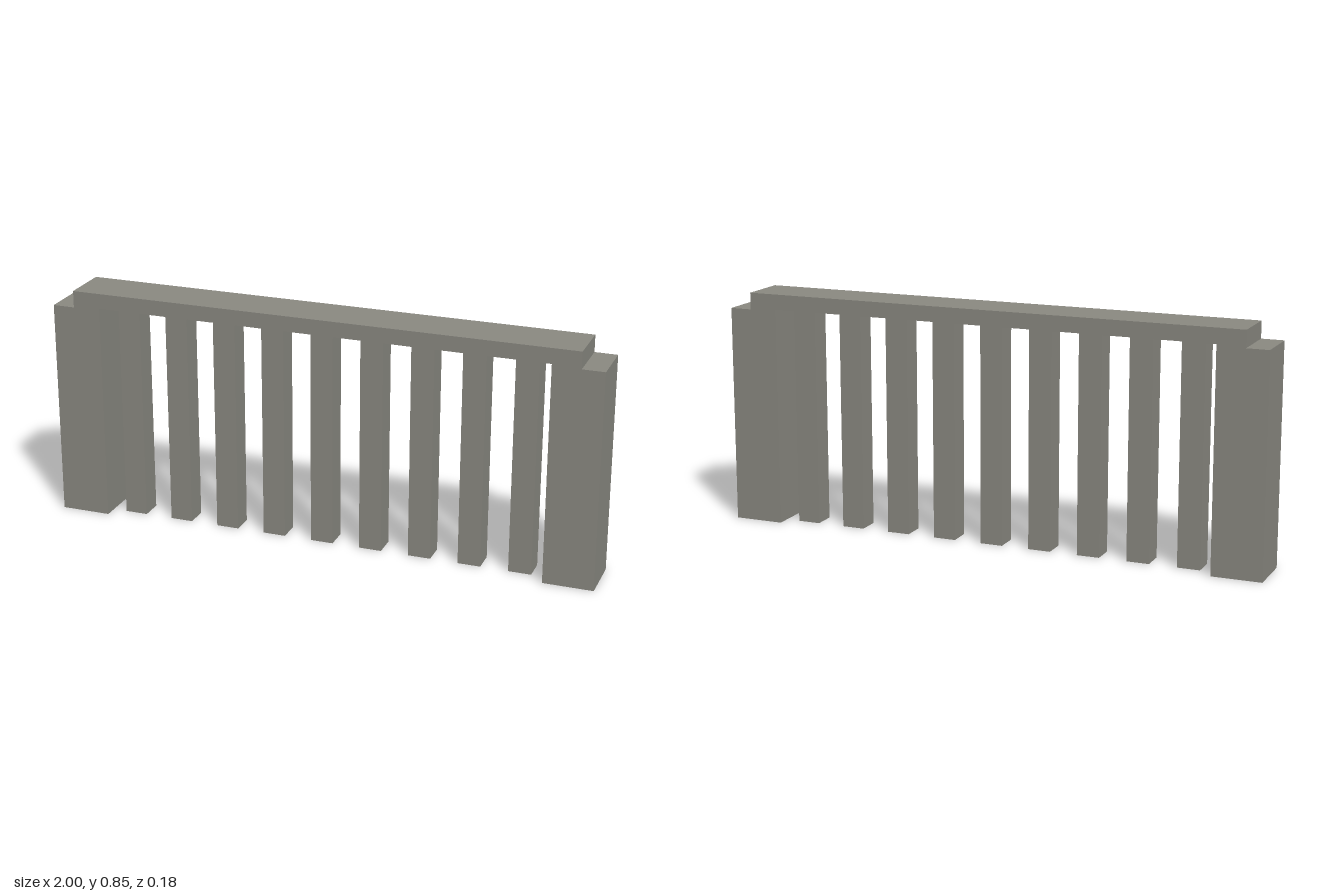
import * as THREE from 'three';

export function createModel() {
  const model = new THREE.Group();
  model.name = 'balustrade';
  const stone = new THREE.MeshStandardMaterial({ color: 0x8b8a82 });
  stone.name = 'grey stone';

  // Frame: end posts and stepped top rail as one extruded outline
  const depth = 0.18;
  const half = [[0.82, 0.793], [0.82, 0], [1, 0], [1, 0.787], [0.92, 0.787], [0.92, 0.848]];
  const mirrored = half.map(([x, y]) => [-x, y]).reverse();
  const outline = new THREE.Shape([...half, ...mirrored].map(([x, y]) => new THREE.Vector2(x, y)));
  const frameGeometry = new THREE.ExtrudeGeometry(outline, { depth, bevelEnabled: false });
  frameGeometry.translate(0, 0, -depth / 2);
  const frame = new THREE.Mesh(frameGeometry, stone);
  frame.name = 'frame';
  model.add(frame);

  // Balusters: nine evenly spaced square bars under the rail
  const height = 0.793;
  const barGeometry = new THREE.BoxGeometry(0.082, height, 0.082);
  for (let i = -4; i <= 4; i++) {
    const bar = new THREE.Mesh(barGeometry, stone);
    bar.name = `baluster${i + 5}`;
    bar.position.set(i * 0.182, height / 2, 0);
    model.add(bar);
  }
  return model;
}
